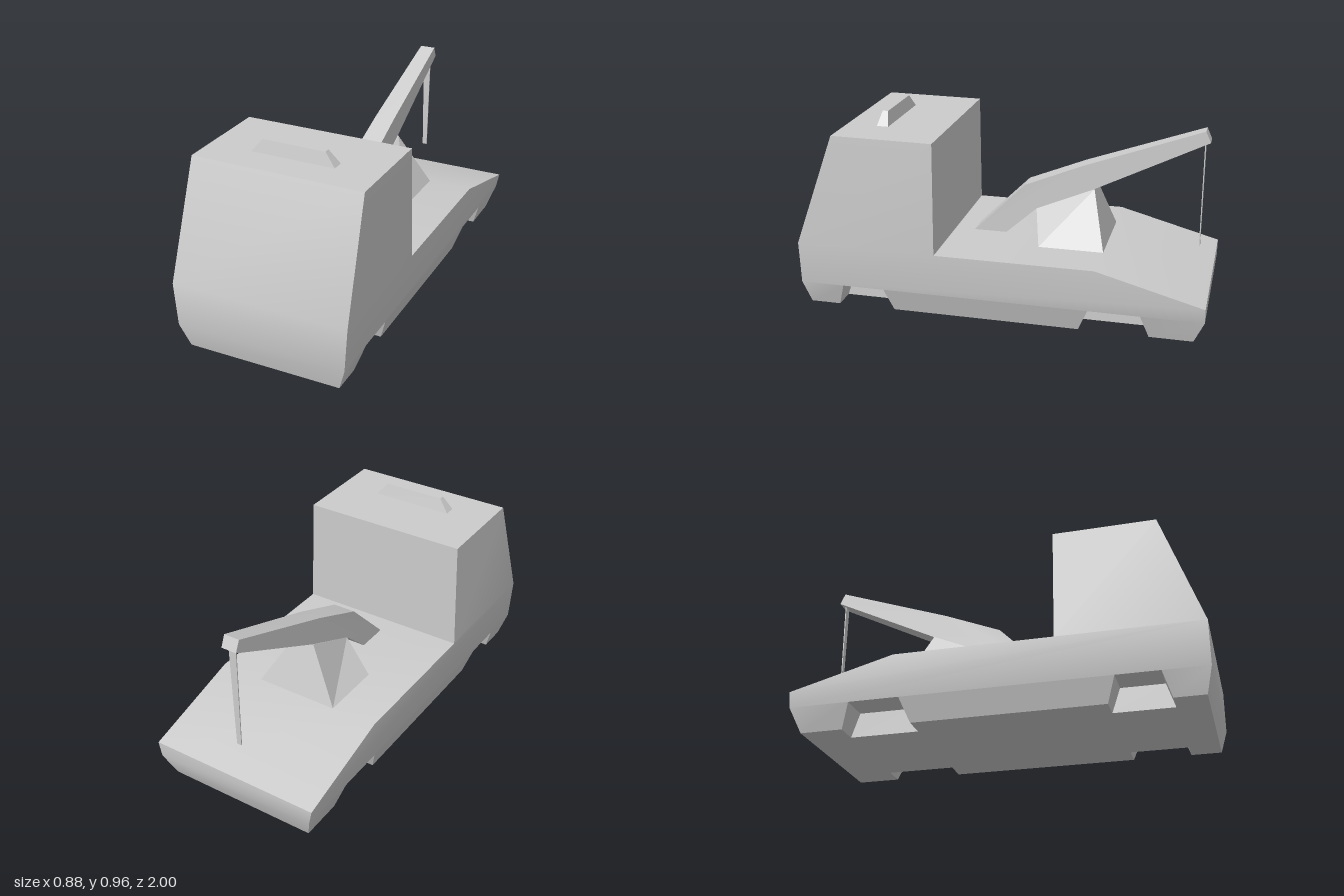
import * as THREE from 'three';
import { toCreasedNormals } from 'three/addons/utils/BufferGeometryUtils.js';

const material = new THREE.MeshStandardMaterial({ color: 0xcccccc });

// Collects convex polygons (corners counter-clockwise from outside) into one geometry.
function faceSet() {
  const out = [];
  const add = (pts) => {
    for (let i = 1; i < pts.length - 1; i++) out.push(...pts[0], ...pts[i], ...pts[i + 1]);
  };
  const addBoth = (pts) => {
    add(pts);
    add(pts.map(([x, y, z]) => [-x, y, z]).reverse());
  };
  const build = (crease) => {
    const g = new THREE.BufferGeometry();
    g.setAttribute('position', new THREE.Float32BufferAttribute(out, 3));
    return toCreasedNormals(g, crease);
  };
  return { add, addBoth, build };
}

function mesh(name, geometry) {
  const m = new THREE.Mesh(geometry, material);
  m.name = name;
  return m;
}

// Half width of the body at the heights where it has corners.
function halfWidth(y) {
  if (y < 0.01) return 0.385;
  return y < 0.13 || y > 0.8 ? 0.425 : 0.44;
}

// Side profiles below are lists of [z, y].
function bodyGeometry() {
  const f = faceSet();
  const inner = 0.27;
  const side = ([z, y]) => [halfWidth(y), y, z];
  const mirror = ([x, y, z]) => [-x, y, z];

  // skin across the vehicle: tail, deck, cab rear, roof, front
  const outline = [[-0.95, 0], [-1, 0.12], [-1, 0.195], [-0.48, 0.335], [0.3, 0.335],
    [0.3, 0.89], [0.8, 0.895], [1, 0.335], [1, 0.12], [0.97, 0]];
  for (let i = 0; i < outline.length - 1; i++) {
    const p = side(outline[i]), q = side(outline[i + 1]);
    f.add([p, mirror(p), mirror(q), q]);
  }

  // flanks: cab, main band, and sill pieces around the wheel recesses
  [
    [[1, 0.335], [0.3, 0.335], [0.3, 0.89], [0.8, 0.895]],
    [[1, 0.12], [-1, 0.12], [-1, 0.195], [-0.48, 0.335], [0.3, 0.335], [1, 0.335]],
    [[0.97, 0], [0.82, 0], [0.78, 0.12], [1, 0.12]],
    [[0.53, 0], [-0.4, 0], [-0.45, 0.12], [0.57, 0.12]],
    [[-0.74, 0], [-0.95, 0], [-1, 0.12], [-0.7, 0.12]],
  ].forEach((poly) => f.addBoth(poly.map(side)));

  // underside: centre panel and the strips outside it
  f.add([[inner, 0, 0.97], [-inner, 0, 0.97], [-inner, 0, -0.95], [inner, 0, -0.95]]);
  const strip = (p, q) => f.addBoth([side(p), [inner, p[1], p[0]], [inner, q[1], q[0]], side(q)]);
  [[0.97, 0.82], [0.53, -0.4], [-0.74, -0.95]].forEach(([a, b]) => strip([a, 0], [b, 0]));

  // wheel recesses
  [[0.82, 0.78, 0.57, 0.53], [-0.4, -0.45, -0.7, -0.74]].forEach(([a, b, c, d]) => {
    const path = [[a, 0], [b, 0.12], [c, 0.12], [d, 0]];
    for (let i = 0; i < 3; i++) strip(path[i], path[i + 1]);
    f.addBoth([path[0], path[3], path[2], path[1]].map(([z, y]) => [inner, y, z]));
  });
  return f.build(0.6);
}

// Tapered block; each end is { x: half width, front: [z, y], back: [z, y] }.
function taperedBlock(bottom, top) {
  const f = faceSet();
  const ring = ({ x, front, back }) => [
    [x, front[1], front[0]], [x, back[1], back[0]],
    [-x, back[1], back[0]], [-x, front[1], front[0]]];
  const b = ring(bottom), t = ring(top);
  for (let i = 0; i < 4; i++) {
    const j = (i + 1) % 4;
    f.add([b[i], b[j], t[j], t[i]]);
  }
  f.add(t);
  f.add([...b].reverse());
  return f.build(0.1);
}

// Bent crane arm, extruded across x and narrowed towards the tip.
function boomGeometry() {
  const profile = [[0.2, 0.335], [-0.06, 0.595], [-0.35, 0.715], [-0.93, 0.925],
    [-0.955, 0.87], [-0.41, 0.6], [-0.12, 0.475], [0.035, 0.335]];
  const shape = new THREE.Shape(profile.map(([z, y]) => new THREE.Vector2(z, y)));
  const g = new THREE.ExtrudeGeometry(shape, { depth: 1, bevelEnabled: false });
  g.translate(0, 0, -0.5).rotateY(-Math.PI / 2);
  const pos = g.attributes.position;
  for (let i = 0; i < pos.count; i++) {
    const t = THREE.MathUtils.clamp((-0.1 - pos.getZ(i)) / 0.85, 0, 1);
    pos.setX(i, pos.getX(i) * 2 * THREE.MathUtils.lerp(0.057, 0.039, t));
  }
  return toCreasedNormals(g, 0.3);
}

export function createModel() {
  const group = new THREE.Group();
  group.name = 'towTruck';
  group.add(
    mesh('body', bodyGeometry()),
    mesh('boom', boomGeometry()),
    mesh('boomPedestal', taperedBlock(
      { x: 0.212, front: [-0.165, 0.335], back: [-0.485, 0.335] },
      { x: 0.055, front: [-0.12, 0.475], back: [-0.41, 0.6] })),
    mesh('roofLightBar', taperedBlock(
      { x: 0.212, front: [0.648, 0.89], back: [0.588, 0.89] },
      { x: 0.158, front: [0.633, 0.958], back: [0.605, 0.958] })),
    mesh('towCable', taperedBlock(
      { x: 0.012, front: [-0.927, 0.335], back: [-0.932, 0.335] },
      { x: 0.02, front: [-0.927, 0.885], back: [-0.932, 0.885] })),
  );
  return group;
}
